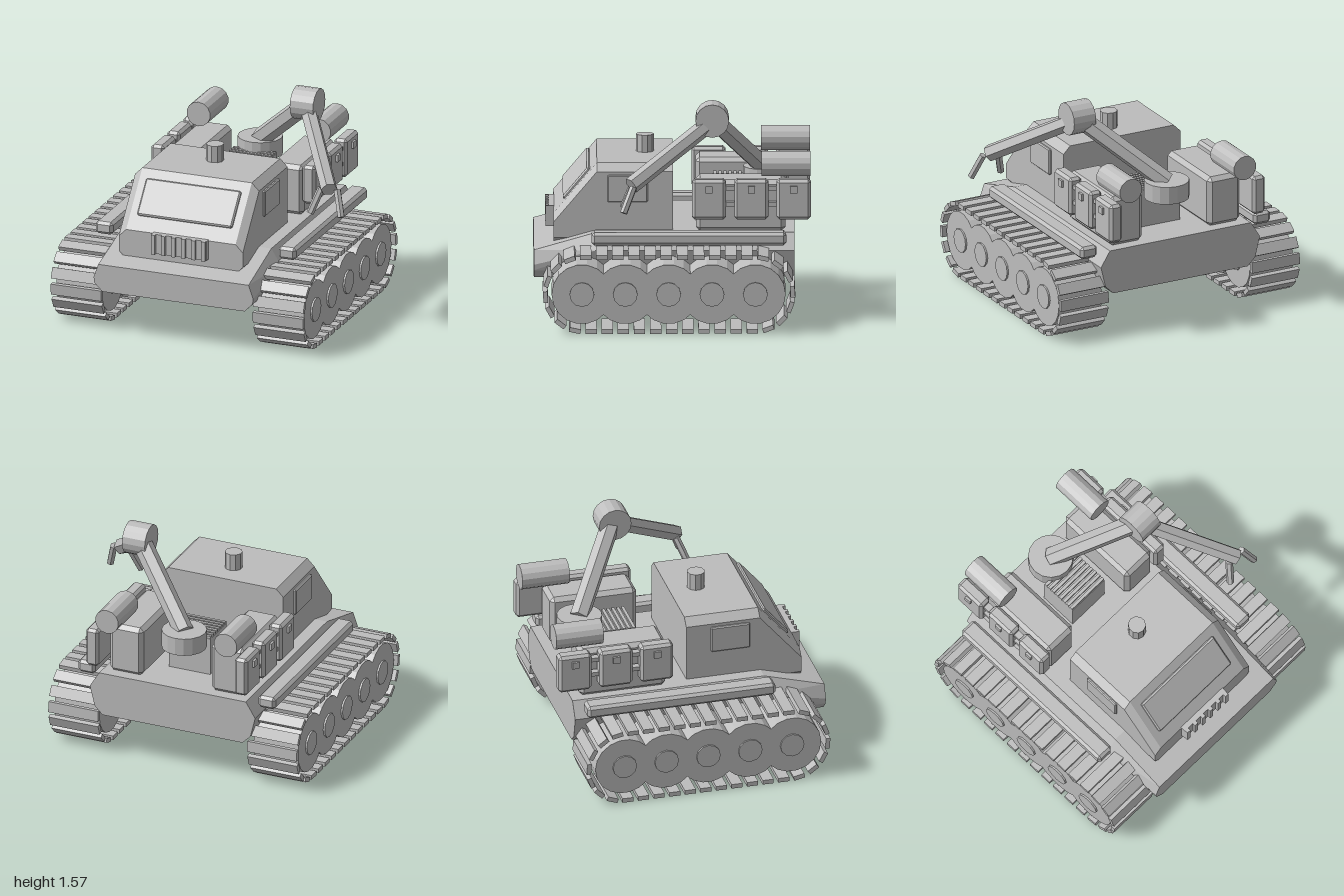
import * as THREE from 'three';
import { ConvexGeometry } from 'three/addons/geometries/ConvexGeometry.js';

const V = (x, y, z) => new THREE.Vector3(x, y, z);

export function createModel() {
  const model = new THREE.Group();
  const body = new THREE.Group();
  body.name = 'vehicle';
  body.position.x = -0.0425;
  model.add(body);

  const grey = new THREE.MeshStandardMaterial({ color: 0xbdbdbd });
  grey.name = 'grey';

  // Adds a faceted mesh to a parent
  function add(parent, name, geometry, x = 0, y = 0, z = 0) {
    const flat = geometry.index ? geometry.toNonIndexed() : geometry;
    flat.computeVertexNormals();
    const mesh = new THREE.Mesh(flat, grey);
    mesh.name = name;
    mesh.position.set(x, y, z);
    parent.add(mesh);
    return mesh;
  }
  const box = (w, h, d) => new THREE.BoxGeometry(w, h, d);
  const cylX = (r, len, n) => new THREE.CylinderGeometry(r, r, len, n).rotateZ(Math.PI / 2);

  // Box with every edge chamfered by c
  function chamferBox(w, h, d, c) {
    const pts = [];
    for (const sx of [-1, 1]) for (const sy of [-1, 1]) for (const sz of [-1, 1]) {
      const x = w / 2, y = h / 2, z = d / 2;
      pts.push(V(sx * x, sy * (y - c), sz * (z - c)),
        V(sx * (x - c), sy * y, sz * (z - c)),
        V(sx * (x - c), sy * (y - c), sz * z));
    }
    return new ConvexGeometry(pts);
  }

  // Convex solid from mirrored half sections [z, [[x, y], ...]]
  function solid(sections) {
    const pts = [];
    for (const [z, half] of sections)
      for (const [x, y] of half) pts.push(V(x, y, z), V(-x, y, z));
    return new ConvexGeometry(pts);
  }

  // Straight rod between two points
  function rod(name, a, b, r, n = 6) {
    const mesh = add(body, name, new THREE.CylinderGeometry(r, r, a.distanceTo(b), n));
    mesh.position.copy(a).add(b).multiplyScalar(0.5);
    mesh.quaternion.setFromUnitVectors(V(0, 1, 0), b.clone().sub(a).normalize());
    return mesh;
  }

  // Hull with sloping nose
  const mid = [[0.54, 0.33], [0.6, 0.39], [0.637, 0.54], [0.565, 0.655]];
  add(body, 'hull', solid([
    [0.97, [[0.54, 0.33], [0.6, 0.39], [0.605, 0.43], [0.57, 0.53]]],
    [0.53, mid], [-0.865, mid],
  ]));

  // Cabin with slanted front and chamfered roof edges
  const roof = [[0.47, 0.59], [0.47, 1.07], [0.415, 1.125]];
  add(body, 'cabin', solid([
    [0.83, [[0.44, 0.57], [0.47, 0.6], [0.47, 0.71], [0.415, 0.765]]],
    [0.526, roof], [-0.01, roof],
  ]));
  const screen = add(body, 'windscreen', chamferBox(0.72, 0.28, 0.04, 0.01), 0, 0.96, 0.666);
  screen.rotation.x = -0.701;
  add(body, 'roofBeacon', new THREE.CylinderGeometry(0.063, 0.063, 0.125, 10), 0, 1.185, 0.187);

  // Front grille
  add(body, 'grilleBase', box(0.417, 0.145, 0.04), 0, 0.7, 0.845);
  for (let i = 0; i < 6; i++)
    add(body, 'grilleRib', box(0.03, 0.145, 0.025), -0.19 + i * 0.076, 0.7, 0.875);

  // Engine block with ribbed cover
  add(body, 'engineBlock', box(0.32, 0.285, 0.28), 0, 0.79, -0.43);
  for (let i = 0; i < 8; i++)
    add(body, 'engineRib', box(0.32, 0.02, 0.022), 0, 0.94, -0.554 + i * 0.0355);

  for (const s of [-1, 1]) {
    const side = new THREE.Group();
    side.name = s > 0 ? 'leftSide' : 'rightSide';
    body.add(side);

    // Track plates laid along a stadium path
    const zf = 0.625, zb = -0.585, cy = 0.288, r = 0.265, n = 36;
    const run = zf - zb, arc = Math.PI * r, total = 2 * (run + arc);
    for (let i = 0; i < n; i++) {
      let t = (i + 0.5) / n * total, y, z, turn;
      if (t < run) { z = zb + t; y = cy + r; turn = 0; }
      else if (t < run + arc) {
        turn = (t - run) / r;
        z = zf + r * Math.sin(turn); y = cy + r * Math.cos(turn);
      } else if (t < 2 * run + arc) { z = zf - (t - run - arc); y = cy - r; turn = Math.PI; }
      else {
        turn = Math.PI + (t - 2 * run - arc) / r;
        z = zb + r * Math.sin(turn); y = cy + r * Math.cos(turn);
      }
      add(side, 'trackPlate', box(0.382, 0.032, 0.08), s * 0.766, y, z).rotation.x = turn;
    }

    // Road wheels and hubs
    for (let i = 0; i < 5; i++) {
      const z = 0.633 - i * 0.305;
      add(side, 'wheel', cylX(0.213, 0.345, 18), s * 0.766, 0.286, z);
      add(side, 'wheelHub', cylX(0.087, 0.37, 12), s * 0.766, 0.286, z);
    }

    add(side, 'fenderRail', chamferBox(0.133, 0.092, 1.37, 0.02), s * 0.694, 0.643, -0.12);
    add(side, 'sideWindow', chamferBox(0.04, 0.193, 0.285, 0.008), s * 0.468, 0.95, 0.31);

    // Storage tank with a tube on top
    add(side, 'tank', chamferBox(0.26, 0.37, 0.63, 0.03), s * 0.392, 0.835, -0.485);
    add(side, 'rearTube', new THREE.CylinderGeometry(0.09, 0.09, 0.345, 14).rotateX(Math.PI / 2),
      s * 0.457, 1.125, -0.803);

    // Side packs, latches and connecting rails
    for (const z of [-0.262, -0.56, -0.858]) {
      add(side, 'sidePack', chamferBox(0.1, 0.285, 0.24, 0.02), s * 0.573, 0.898, z);
      add(side, 'packLatch', box(0.02, 0.05, 0.05), s * 0.629, 0.972, z);
    }
    for (const y of [0.975, 0.86])
      add(side, 'packRail', box(0.05, 0.03, 0.6), s * 0.57, y, -0.56);
  }

  // Crane arm
  const base = V(0, 1.0, -0.663), elbow = V(0.51, 1.46, -0.285), wrist = V(0.905, 1.06, 0.285);
  add(body, 'turntable', new THREE.CylinderGeometry(0.16, 0.16, 0.13, 16), 0, 0.955, -0.663);
  rod('lowerArm', base, elbow, 0.07);
  add(body, 'elbowJoint', cylX(0.118, 0.175, 16), 0.51, 1.458, -0.285);
  rod('forearm', V(0.51, 1.44, -0.285), wrist, 0.06);
  rod('clawFinger', V(0.84, 1.06, 0.27), V(0.782, 0.885, 0.34), 0.027);
  rod('clawFinger', V(0.96, 1.06, 0.27), V(1.018, 0.885, 0.34), 0.027);

  return model;
}
